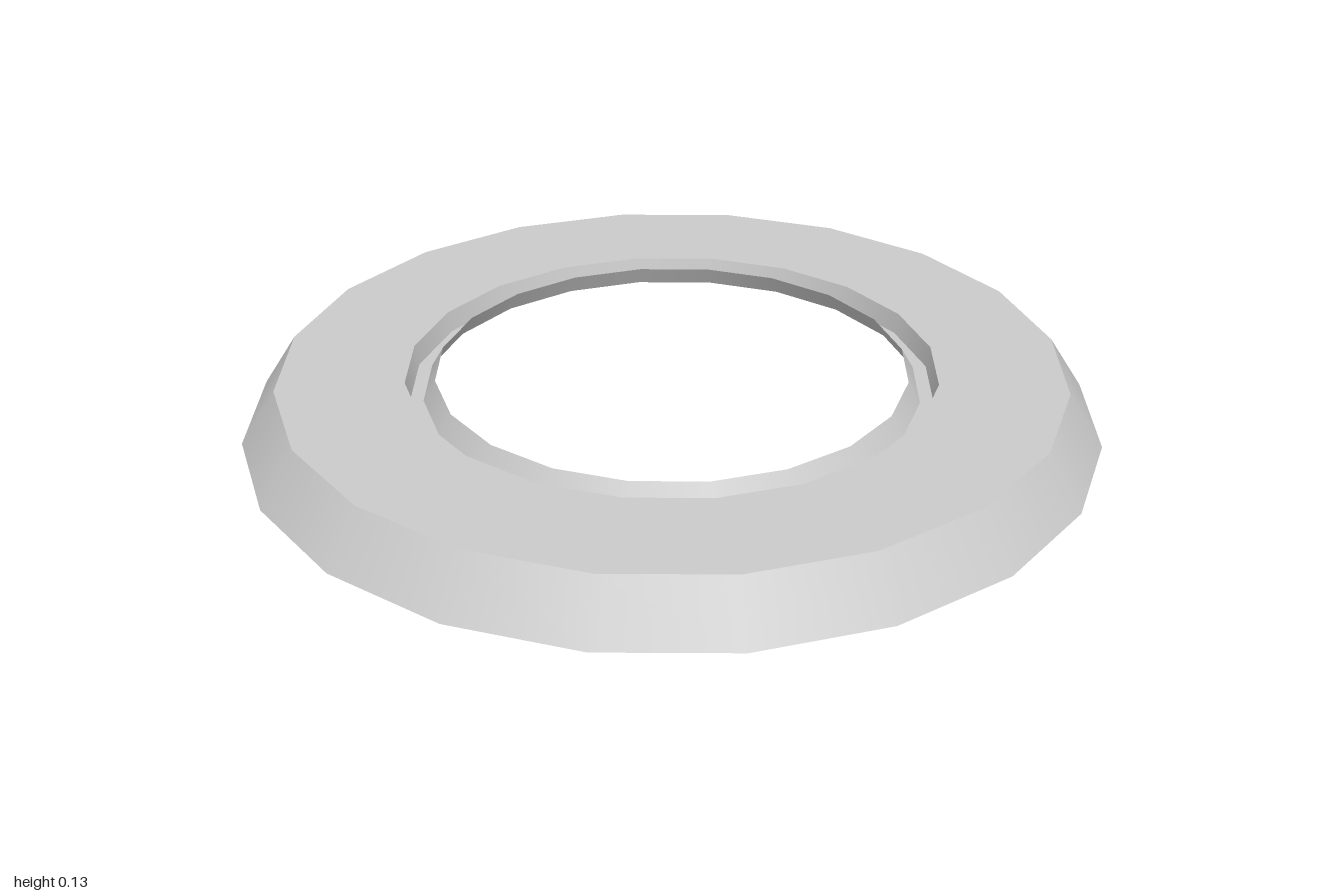
import * as THREE from 'three';

const SIDES = 20;
const START = THREE.MathUtils.degToRad(10.2);

export function createModel() {
  const group = new THREE.Group();
  group.name = 'ringCover';
  const material = new THREE.MeshStandardMaterial({ color: 0xcccccc, side: THREE.DoubleSide });

  // Profile of the thin, open-bottomed shell, from outer rim to inner lip
  const profile = [
    [1.009, 0],
    [0.926, 0.13],
    [0.626, 0.13],
    [0.617, 0.08],
    [0.585, 0.08],
    [0.556, 0.13],
  ].map(([r, y]) => new THREE.Vector2(r, y));

  // One band per profile segment: smooth around, sharp between bands
  const names = ['outerSkirt', 'topPlate', 'grooveWall', 'grooveFloor', 'innerLip'];
  names.forEach((name, i) => {
    const band = new THREE.LatheGeometry([profile[i], profile[i + 1]], SIDES, START);
    const mesh = new THREE.Mesh(band, material);
    mesh.name = name;
    group.add(mesh);
  });
  return group;
}
